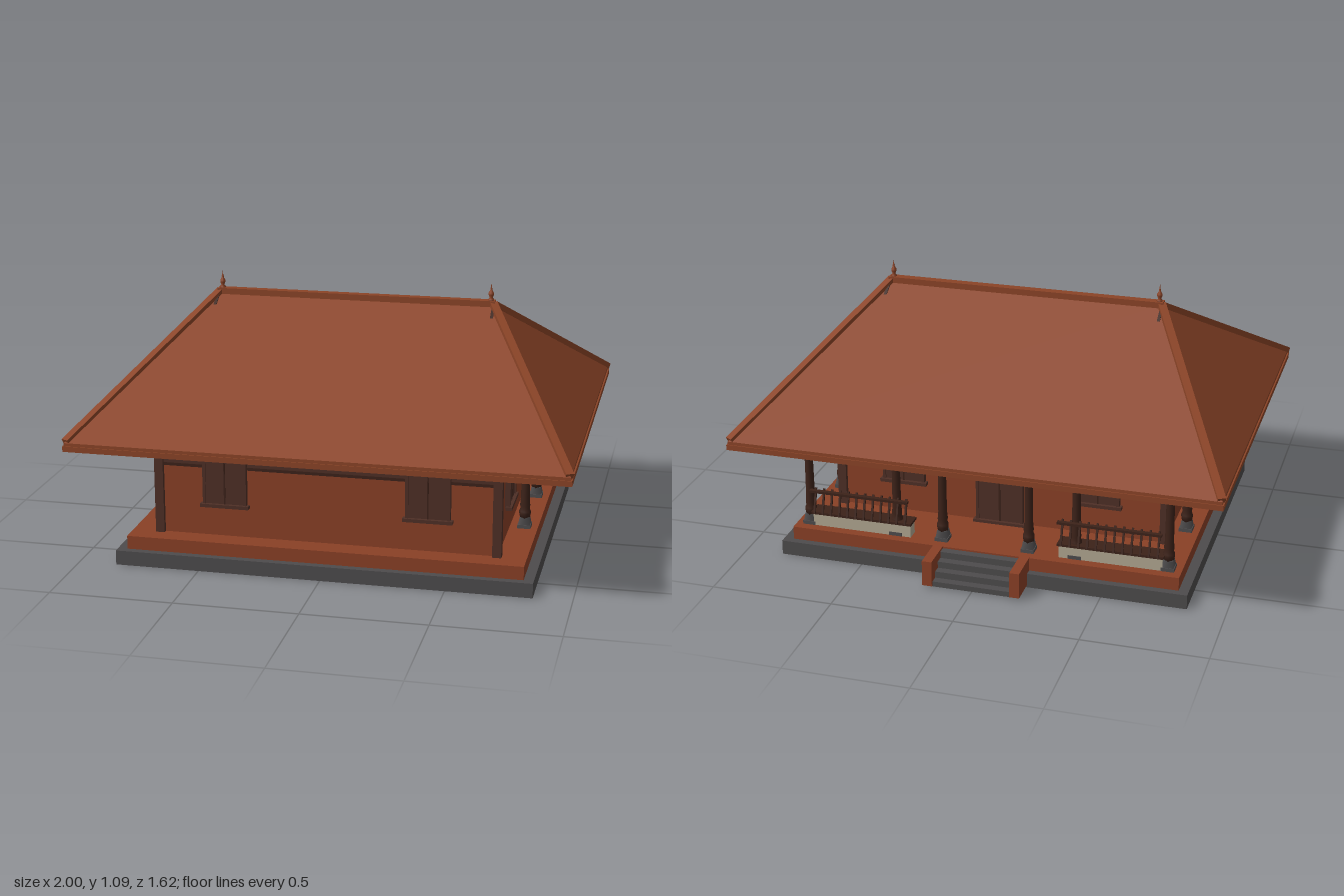
import * as THREE from 'three';

const mat = (name, color, extra = {}) => Object.assign(new THREE.MeshStandardMaterial({ color, ...extra }), { name });

export function createModel() {
  const root = new THREE.Group();
  root.name = 'verandahHouse';
  const tile = mat('terracotta tile', 0x8b4427);
  const wall = mat('laterite wall', 0x8a4026);
  const stone = mat('dark granite', 0x4d4b4c);
  const wood = mat('dark timber', 0x3c2219);
  const panel = mat('brown timber panel', 0x4e2f26);
  const plaster = mat('pale plaster', 0xb0a690);

  const add = (name, geo, m, x = 0, y = 0, z = 0, parent = root) => {
    const mesh = new THREE.Mesh(geo, m);
    mesh.name = name;
    mesh.position.set(x, y, z);
    parent.add(mesh);
    return mesh;
  };
  // box given by its min and max on every axis
  const box = (name, m, x0, x1, y0, y1, z0, z1, parent = root) =>
    add(name, new THREE.BoxGeometry(x1 - x0, y1 - y0, z1 - z0), m,
      (x0 + x1) / 2, (y0 + y1) / 2, (z0 + z1) / 2, parent);
  // bar of width w and height h from a to b
  const bar = (name, m, a, b, w, h) => {
    const p = new THREE.Vector3(...a), q = new THREE.Vector3(...b);
    const mid = p.clone().add(q).multiplyScalar(0.5);
    const mesh = add(name, new THREE.BoxGeometry(w, h, p.distanceTo(q)), m, mid.x, mid.y, mid.z);
    mesh.lookAt(q);
    return mesh;
  };

  // Plinth
  box('plinthBase', stone, -0.845, 0.845, 0, 0.06, -0.66, 0.66);
  box('plinthTop', wall, -0.805, 0.805, 0.06, 0.115, -0.63, 0.63);

  // Entrance steps with cheek walls
  for (const s of [-1, 1]) box('stepCheek', wall, s * 0.18 - 0.02, s * 0.18 + 0.02, 0.01, 0.117, -0.775, -0.625);
  for (let i = 0; i < 4; i++)
    box('step', stone, -0.16, 0.16, 0.005, 0.027 * (i + 1), -0.765 + i * 0.034, -0.62);

  // Walls, upper timber band, corner posts
  box('walls', wall, -0.69, 0.69, 0.115, 0.53, -0.35, 0.54);
  box('upperBand', panel, -0.694, 0.694, 0.41, 0.532, -0.354, 0.544);
  box('bandRail', wood, -0.698, 0.698, 0.4, 0.412, -0.358, 0.548);
  for (const x of [-0.688, 0.688]) for (const z of [-0.35, 0.54])
    box('cornerPost', panel, x - 0.018, x + 0.018, 0.115, 0.534, z - 0.018, z + 0.018);

  // Windows and door, built facing +z and turned to their wall
  const opening = (name, x, z, turn, w, y0, y1) => {
    const g = new THREE.Group();
    g.name = name;
    g.position.set(x, 0, z);
    g.rotation.y = turn;
    root.add(g);
    const h = w / 2;
    box('leaf', panel, -h, h, y0, y1, -0.005, 0.012, g);
    for (const s of [-1, 1])
      box('jamb', panel, s * (h - 0.006) - 0.006, s * (h - 0.006) + 0.006, y0, y1, 0, 0.018, g);
    box('meetingStrip', wood, -0.003, 0.003, y0, y1, 0, 0.015, g);
    box('lintel', panel, -h - 0.01, h + 0.01, y1 - 0.012, y1 + 0.002, 0, 0.024, g);
    box('sill', panel, -h - 0.01, h + 0.01, y0 - 0.004, y0 + 0.01, 0, 0.026, g);
  };
  for (const s of [-1, 1]) {
    opening('frontWindow', s * 0.413, 0.546, 0, 0.18, 0.245, 0.457);
    opening('verandahWindow', s * 0.413, -0.356, Math.PI, 0.18, 0.25, 0.457);
    for (const z of [0.27, -0.09]) opening('sideWindow', s * 0.694, z, s * Math.PI / 2, 0.18, 0.25, 0.457);
  }
  opening('door', 0, -0.356, Math.PI, 0.2, 0.117, 0.46);
  box('doorHead', wood, -0.13, 0.13, 0.452, 0.476, -0.385, -0.35);

  // Verandah columns: tapered granite foot, turned shaft, capital
  const footGeo = new THREE.CylinderGeometry(0.027, 0.038, 0.045, 4).rotateY(Math.PI / 4);
  const shaftGeo = new THREE.LatheGeometry([
    [0, 0.155], [0.02, 0.155], [0.024, 0.175], [0.024, 0.185], [0.019, 0.195], [0.021, 0.21],
    [0.018, 0.24], [0.0165, 0.45], [0.02, 0.46], [0.016, 0.47], [0.022, 0.49], [0, 0.49],
  ].map(p => new THREE.Vector2(...p)), 12);
  const column = (x, z) => {
    const g = new THREE.Group();
    g.name = 'column';
    g.position.set(x, 0, z);
    root.add(g);
    add('columnPlinth', new THREE.BoxGeometry(0.054, 0.015, 0.054), stone, 0, 0.1225, 0, g);
    add('columnFoot', footGeo, stone, 0, 0.137, 0, g);
    add('columnShaft', shaftGeo, wood, 0, 0, 0, g);
    add('columnCapital', new THREE.BoxGeometry(0.044, 0.018, 0.044), wood, 0, 0.498, 0, g);
  };
  for (const s of [-1, 1]) {
    for (const x of [0.75, 0.375, 0.18]) column(s * x, -0.565);
    for (const z of [0.18, -0.21]) column(s * 0.75, z);
    bar('sideBeam', wood, [s * 0.75, 0.52, -0.59], [s * 0.75, 0.52, 0.56], 0.034, 0.028);
  }
  bar('verandahBeam', wood, [-0.775, 0.52, -0.565], [0.775, 0.52, -0.565], 0.034, 0.028);

  // Bench walls with leaning slatted backs
  for (const s of [-1, 1]) {
    const a = s > 0 ? 0.31 : -0.73, b = a + 0.42;
    box('benchWall', plaster, a, b, 0.115, 0.17, -0.59, -0.54);
    box('benchSeat', wood, a - 0.005, b + 0.005, 0.17, 0.18, -0.602, -0.53);
    box('benchRail', wood, a, b, 0.277, 0.287, -0.624, -0.606);
    for (let i = 0; i < 12; i++) {
      const x = a + 0.015 + i * 0.39 / 11;
      bar('benchSlat', wood, [x, 0.18, -0.615], [x, 0.285, -0.587], 0.008, 0.008);
    }
  }

  // Hipped roof shell
  const EX = 0.99, EZ = 0.805, RX = 0.575, EY = 0.55, RY = 1.0;
  const ring = dy => [[-EX, EY + dy, EZ], [EX, EY + dy, EZ], [EX, EY + dy, -EZ], [-EX, EY + dy, -EZ],
    [-RX, RY + dy, 0], [RX, RY + dy, 0]];
  const top = ring(0), under = ring(-0.024);
  const tris = [];
  const face = (...p) => { for (let i = 1; i < p.length - 1; i++) tris.push(...p[0], ...p[i], ...p[i + 1]); };
  for (const f of [[0, 1, 5, 4], [1, 2, 5], [2, 3, 4, 5], [3, 0, 4]]) {
    face(...f.map(i => top[i]));
    face(...f.map(i => under[i]).reverse());
  }
  for (let i = 0; i < 4; i++) face(under[i], under[(i + 1) % 4], top[(i + 1) % 4], top[i]);
  const roofGeo = new THREE.BufferGeometry();
  roofGeo.setAttribute('position', new THREE.Float32BufferAttribute(tris, 3));
  roofGeo.computeVertexNormals();
  add('roof', roofGeo, tile);

  // Fascia boards, hip caps, ridge cap
  for (const s of [-1, 1]) {
    box('longFascia', tile, -0.995, 0.995, 0.515, 0.537, s * 0.801 - 0.008, s * 0.801 + 0.008);
    box('endFascia', tile, s * 0.988 - 0.008, s * 0.988 + 0.008, 0.515, 0.537, -0.8, 0.8);
    for (const t of [-1, 1])
      bar('hipCap', tile, [s * RX, RY + 0.002, 0], [s * (EX - 0.005), EY + 0.002, t * (EZ - 0.008)], 0.032, 0.024);
  }
  box('ridgeCap', tile, -0.585, 0.585, 0.985, 1.015, -0.018, 0.018);

  // Small gable plates and finials at the ridge ends
  const gable = new THREE.Shape([[-0.08, 0.958], [0.08, 0.958], [0, 1.008]].map(p => new THREE.Vector2(...p)));
  const gableGeo = new THREE.ExtrudeGeometry(gable, { depth: 0.012, bevelEnabled: false }).rotateY(Math.PI / 2);
  const finialGeo = new THREE.LatheGeometry([
    [0, 0], [0.012, 0], [0.012, 0.008], [0.006, 0.014], [0.011, 0.026], [0.011, 0.034], [0.004, 0.046],
    [0.005, 0.05], [0.0025, 0.056], [0, 0.078],
  ].map(p => new THREE.Vector2(...p)), 12);
  for (const s of [-1, 1]) {
    add('ridgeGable', gableGeo, wood, s * 0.58 - 0.006, 0, 0);
    add('finial', finialGeo, tile, s * 0.567, 1.012, 0);
  }

  // Rafters and battens below the roof
  const at = (t, drop) => RY + (EY - RY) * t - drop;
  for (const s of [-1, 1]) {
    for (let i = -6; i <= 6; i++) {
      const x = i * 0.15, t = Math.max(0.03, (Math.abs(x) - RX) / (EX - RX));
      bar('rafter', wood, [x, at(t, 0.036), s * t * EZ], [x, at(0.98, 0.032), s * 0.98 * EZ], 0.016, 0.02);
    }
    for (let i = -4; i <= 4; i++) {
      const z = i * 0.16, t = Math.max(0.03, Math.abs(z) / EZ);
      bar('endRafter', wood, [s * (RX + t * (EX - RX)), at(t, 0.042), z],
        [s * (RX + 0.97 * (EX - RX)), at(0.97, 0.04), z], 0.016, 0.02);
    }
    for (let t = 0.4; t < 0.96; t += 0.09) {
      const hx = RX + t * (EX - RX);
      bar('batten', wood, [-hx, at(t, 0.028), s * t * EZ], [hx, at(t, 0.028), s * t * EZ], 0.012, 0.01);
    }
    for (const t of [-1, 1])
      bar('hipRafter', wood, [s * RX, RY - 0.045, 0], [s * 0.975, EY - 0.03, t * 0.78], 0.022, 0.026);
  }
  return root;
}
